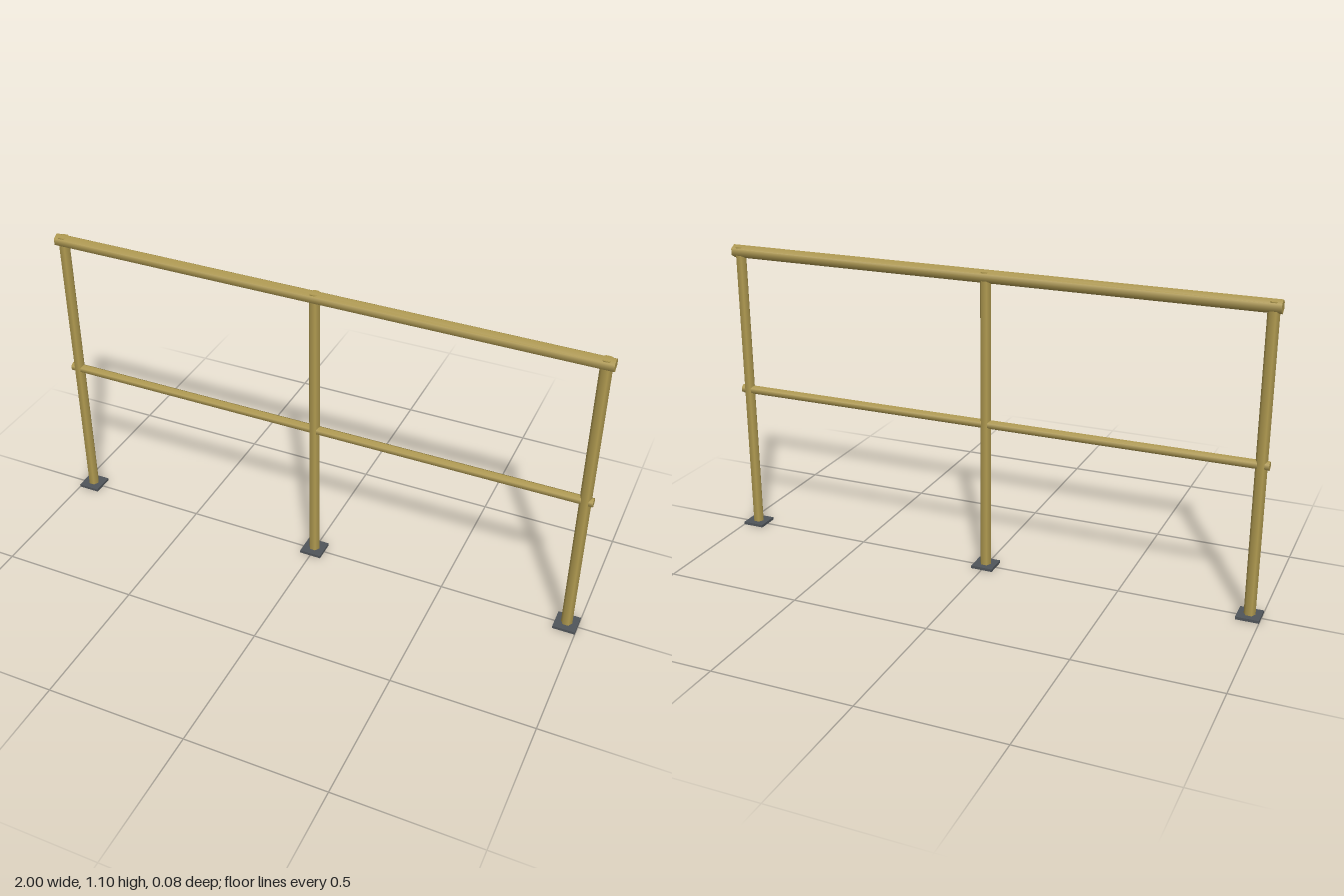
import * as THREE from 'three';

export function createModel() {
  const model = new THREE.Group();
  const brass = new THREE.MeshStandardMaterial({ color: 0xb09a50 });
  brass.name = 'ochre tube paint';
  const steel = new THREE.MeshStandardMaterial({ color: 0x50555a });
  steel.name = 'dark steel';

  const add = (name, geometry, material, x, y) => {
    const mesh = new THREE.Mesh(geometry, material);
    mesh.name = name;
    mesh.position.set(x, y, 0);
    model.add(mesh);
  };

  // Six-sided tube with smooth sides and a corner facing along x
  const tube = (radius, length) =>
    new THREE.CylinderGeometry(radius, radius, length, 6).rotateY(Math.PI / 2);

  // Posts on square base plates; the post tops poke out beside the handrail
  const postBottom = 0.005, postTop = 1.089;
  const postGeometry = tube(0.02, postTop - postBottom);
  const plateGeometry = new THREE.BoxGeometry(0.08, 0.01, 0.08);
  for (const [side, x] of [['right', -0.96], ['middle', 0], ['left', 0.96]]) {
    add(side + 'Post', postGeometry, brass, x, (postBottom + postTop) / 2);
    add(side + 'BasePlate', plateGeometry, steel, x, 0.005);
  }

  // Horizontal rails, corner upward
  const rail = (radius) => tube(radius, 1.974).rotateZ(Math.PI / 2);
  add('handrail', rail(0.0235), brass, 0, 1.072);
  add('midRail', rail(0.0165), brass, 0, 0.547);

  return model;
}
